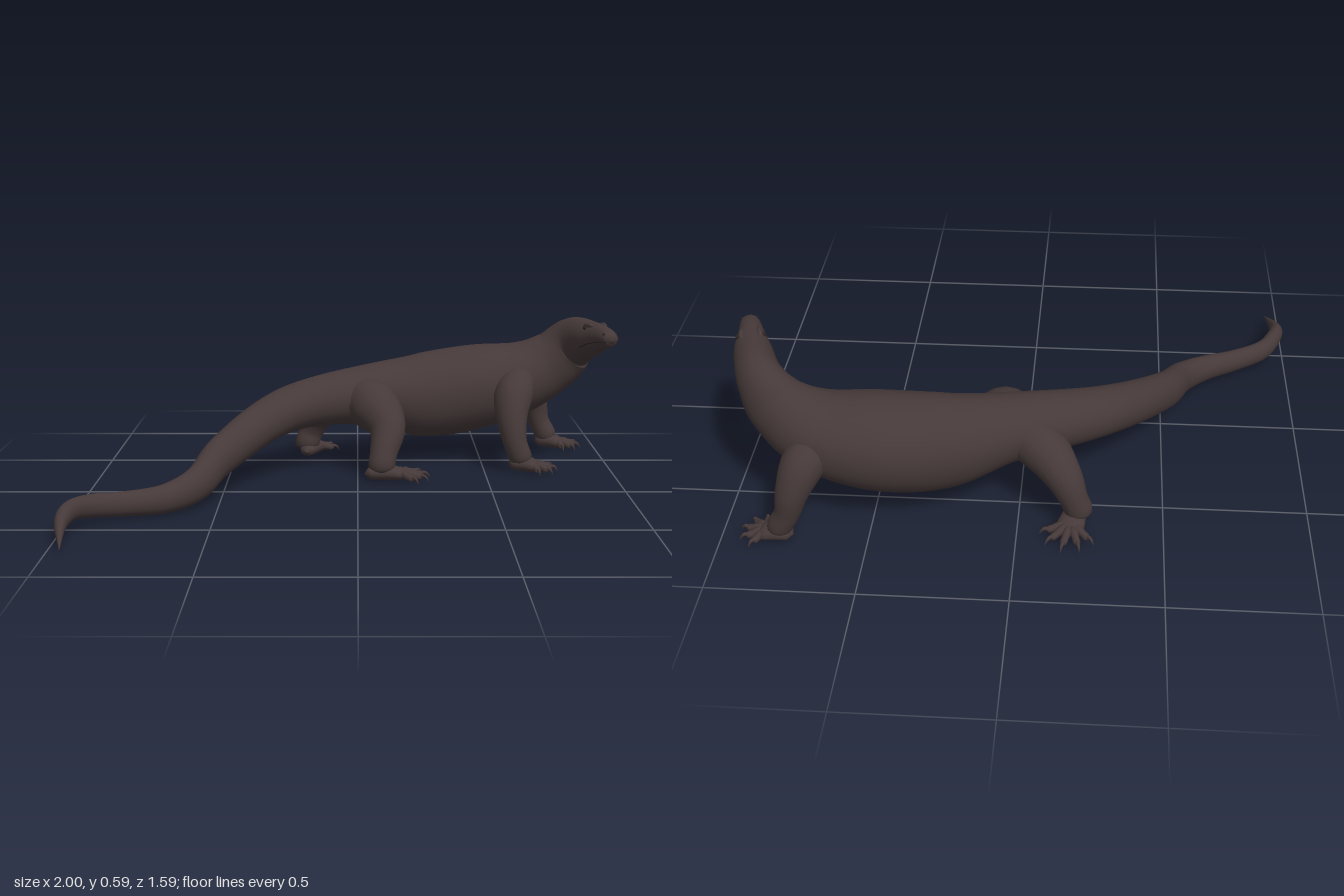
import * as THREE from 'three';

const V = (x, y, z) => new THREE.Vector3(x, y, z);
const hide = new THREE.MeshStandardMaterial({ color: 0x463939 });
hide.name = 'dark brown hide';
const dark = new THREE.MeshStandardMaterial({ color: 0x2b2323 });
dark.name = 'dark eye and mouth';
const UP = V(0, 1, 0), SIDE = V(1, 0, 0);

// Path through rows [x, y, z, halfWidth, halfHeight]; returns surface sampler at (u, angle)
function sampler(rows, ref) {
  const path = new THREE.CatmullRomCurve3(rows.map(r => V(r[0], r[1], r[2])));
  const size = new THREE.CatmullRomCurve3(rows.map(r => V(r[3], r[4] ?? r[3], 0)), false, 'catmullrom', 0.5);
  return (u, a) => {
    const t = path.getTangent(u), r = size.getPoint(u);
    const s = V(0, 0, 0).crossVectors(t, ref).normalize();
    const n = V(0, 0, 0).crossVectors(s, t);
    return path.getPoint(u)
      .addScaledVector(s, Math.cos(a) * Math.max(r.x, 0))
      .addScaledVector(n, Math.sin(a) * Math.max(r.y, 0));
  };
}

// Smooth skin of elliptical rings along the path
function loft(name, rows, ref, steps, sides) {
  const at = sampler(rows, ref), pos = [], idx = [];
  for (let i = 0; i <= steps; i++) {
    for (let j = 0; j < sides; j++) {
      pos.push(...at(i / steps, j / sides * Math.PI * 2).toArray());
      if (i === steps) continue;
      const k = (j + 1) % sides, a = i * sides + j, b = a + sides;
      const c = i * sides + k, d = c + sides;
      idx.push(a, b, c, b, d, c);
    }
  }
  const g = new THREE.BufferGeometry();
  g.setAttribute('position', new THREE.Float32BufferAttribute(pos, 3));
  g.setIndex(idx);
  g.computeVertexNormals();
  const m = new THREE.Mesh(g, hide);
  m.name = name;
  return m;
}

// Tail tip to snout
const spine = [
  [-0.95, 0.02, 0.785, 0, 0],
  [-0.978, 0.067, 0.60, 0.024, 0.029],
  [-0.962, 0.08, 0.52, 0.029, 0.036],
  [-0.91, 0.072, 0.435, 0.032, 0.041],
  [-0.80, 0.062, 0.37, 0.036, 0.044],
  [-0.675, 0.062, 0.305, 0.044, 0.052],
  [-0.58, 0.085, 0.20, 0.051, 0.063],
  [-0.505, 0.147, 0.015, 0.062, 0.074],
  [-0.27, 0.26, -0.29, 0.092, 0.088],
  [0.055, 0.29, -0.45, 0.125, 0.122],
  [0.26, 0.275, -0.515, 0.155, 0.17],
  [0.48, 0.30, -0.56, 0.172, 0.172],
  [0.68, 0.345, -0.57, 0.145, 0.142],
  [0.80, 0.415, -0.548, 0.1, 0.12],
  [0.865, 0.487, -0.51, 0.08, 0.104],
  [0.92, 0.524, -0.38, 0.065, 0.069],
  [0.942, 0.54, -0.30, 0.046, 0.049],
  [0.958, 0.544, -0.245, 0.036, 0.036],
  [0.965, 0.542, -0.218, 0.026, 0.023],
  [0.967, 0.54, -0.208, 0, 0],
];

// Limb from inside the body to the ankle, then a flat foot with five fanned toes.
// Foot: toe root x, z, heading and toe spread in degrees, toe reach
function buildLeg(name, limb, x, z, heading, spread, reach) {
  const leg = new THREE.Group();
  leg.name = name;
  const ankle = limb[limb.length - 1];
  leg.add(loft('limb', [...limb, [ankle[0], 0.02, ankle[2], 0]], SIDE, 25, 18));

  // Row at a distance from the toe root along an angle
  const row = (deg, dist, y, w, h) => {
    const a = THREE.MathUtils.degToRad(deg);
    return [x + Math.cos(a) * dist * reach, y, z + Math.sin(a) * dist * reach, w, h];
  };
  const sole = (...r) => row(heading, ...r);
  leg.add(loft('foot', [sole(-0.95, 0.03, 0, 0), sole(-0.8, 0.033, 0.028, 0.022),
    sole(-0.3, 0.036, 0.043, 0.03), sole(0.14, 0.028, 0.045, 0.023), sole(0.36, 0.025, 0, 0)], UP, 16, 14));

  for (let i = 0; i < 5; i++) {
    const length = 1.05 - 0.03 * (i - 2) ** 2;
    const toe = (k, y, r) => row(heading + (i - 2) * spread, k * length, y, r);
    leg.add(loft('toe' + (i + 1), [toe(0, 0.027, 0.012), toe(0.3, 0.032, 0.016),
      toe(0.55, 0.026, 0.013), toe(0.72, 0.022, 0.012), toe(0.79, 0.021, 0)], UP, 12, 8));
    // Hooked claw
    leg.add(loft('claw' + (i + 1), [toe(0.68, 0.024, 0.008), toe(0.82, 0.029, 0.0065),
      toe(0.93, 0.021, 0.004), toe(1, 0.006, 0)], UP, 9, 6));
  }
  return leg;
}

// Eyes, nostrils, brows and mouth lines placed on the head surface
function buildFace() {
  const face = new THREE.Group();
  face.name = 'face';
  const skin = sampler(spine, UP);
  for (const side of ['left', 'right']) {
    const on = (i, a) => skin(i / (spine.length - 1), side === 'left' ? Math.PI - a : a);
    const add = (name, geometry) => {
      const m = new THREE.Mesh(geometry, dark);
      m.name = side + name;
      face.add(m);
      return m;
    };
    add('Eye', new THREE.SphereGeometry(0.0095, 14, 10)).position.copy(on(15.35, 0.75));
    add('Nostril', new THREE.SphereGeometry(0.005, 10, 8)).position.copy(on(17.4, 0.7));
    const lips = [15, 15.6, 16.3, 17, 17.7, 18.3].map((i, k) => on(i, -0.45 + 0.05 * k));
    add('MouthLine', new THREE.TubeGeometry(new THREE.CatmullRomCurve3(lips), 24, 0.0025, 6));
    const ridge = [15, 15.3, 15.6, 15.9].map((i, k) => [...on(i, 1).toArray(), k % 3 ? 0.009 : 0]);
    face.add(loft(side + 'Brow', ridge, UP, 12, 8));
  }
  return face;
}

export function createModel() {
  const model = new THREE.Group();
  model.name = 'monitorLizard';
  model.add(loft('body', spine, UP, 190, 32), buildFace());
  model.add(buildLeg('leftFrontLeg', [[0.64, 0.35, -0.60, 0.06], [0.70, 0.30, -0.69, 0.075],
    [0.74, 0.21, -0.738, 0.058], [0.765, 0.12, -0.745, 0.044], [0.80, 0.05, -0.74, 0.04]],
  0.84, -0.73, 12, 32, 0.097));
  model.add(buildLeg('rightFrontLeg', [[0.66, 0.35, -0.50, 0.06], [0.62, 0.30, -0.41, 0.078],
    [0.608, 0.21, -0.345, 0.06], [0.62, 0.12, -0.32, 0.047], [0.645, 0.05, -0.32, 0.042]],
  0.687, -0.314, 7, 34, 0.097));
  model.add(buildLeg('leftHindLeg', [[0.04, 0.29, -0.44, 0.08], [-0.08, 0.255, -0.51, 0.085],
    [-0.155, 0.185, -0.575, 0.065], [-0.19, 0.11, -0.595, 0.05], [-0.21, 0.05, -0.59, 0.046]],
  -0.184, -0.64, -76, 30, 0.12));
  model.add(buildLeg('rightHindLeg', [[-0.02, 0.29, -0.42, 0.08], [0.06, 0.265, -0.34, 0.1],
    [0.115, 0.195, -0.255, 0.072], [0.10, 0.11, -0.195, 0.054], [0.09, 0.05, -0.175, 0.048]],
  0.147, -0.184, -10, 28, 0.13));
  return model;
}
